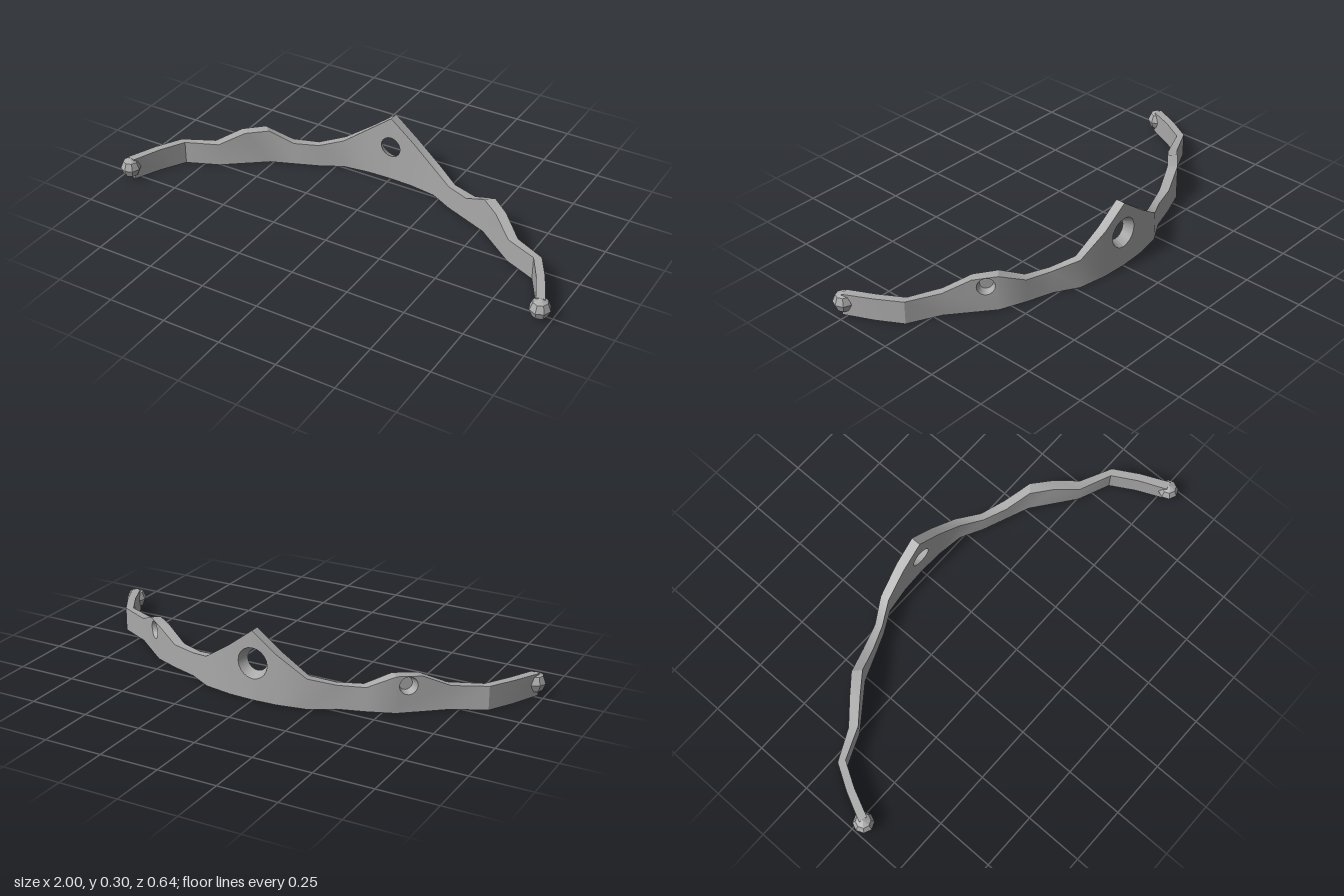
import * as THREE from 'three';
import { toCreasedNormals } from 'three/addons/utils/BufferGeometryUtils.js';

// Stations along one half of the band: [t, outer x, outer z, inner x, inner z, top y]
const STATIONS = [
  [0.00, 0.000, -0.320, 0.000, -0.278, 0.297],
  [0.107, 0.107, -0.315, 0.107, -0.274, 0.214],
  [0.23, 0.230, -0.293, 0.220, -0.258, 0.130],
  [0.33, 0.330, -0.235, 0.315, -0.208, 0.103],
  [0.43, 0.440, -0.200, 0.415, -0.168, 0.103],
  [0.53, 0.550, -0.157, 0.515, -0.128, 0.156],
  [0.72, 0.720, -0.020, 0.690, 0.005, 0.102],
  [0.85, 0.853, 0.045, 0.825, 0.062, 0.102],
  [0.91, 0.915, 0.150, 0.885, 0.165, 0.100],
  [0.96, 0.972, 0.270, 0.936, 0.278, 0.095],
];
const V = (x, y) => new THREE.Vector2(x, y);

// Maps (t, y) and depth w (0 inner face, 1 outer face) onto the bent band
function bend(p, w) {
  let i = 0;
  while (i < STATIONS.length - 2 && p.x > STATIONS[i + 1][0]) i++;
  const a = STATIONS[i], b = STATIONS[i + 1];
  const k = (p.x - a[0]) / (b[0] - a[0]);
  const at = (j) => a[j] + (b[j] - a[j]) * k;
  const mix = THREE.MathUtils.lerp;
  return [mix(at(3), at(1), w), p.y, mix(at(4), at(2), w)];
}

// Points on a circle or arc, squeezed by sx along the band
function arc(cx, cy, r, from, to, n, sx = 1) {
  return Array.from({ length: n + 1 }, (_, i) => {
    const a = from + (to - from) * i / n;
    return V(cx + Math.cos(a) * r * sx, cy + Math.sin(a) * r);
  });
}

function halfBand(side) {
  const pos = [];
  const tri = (a, b, c) => {
    for (const p of side > 0 ? [a, b, c] : [a, c, b]) pos.push(p[0] * side, p[1], p[2]);
  };
  const face = (contour, holes, w) => {
    const all = contour.concat(...holes).map((p) => bend(p, w));
    for (const [a, b, c] of THREE.ShapeUtils.triangulateShape(contour, holes)) {
      if (w > 0) tri(all[a], all[c], all[b]);
      else tri(all[a], all[b], all[c]);
    }
  };
  const wall = (fa, fb, ba, bb) => { tri(fa, ba, bb); tri(fa, bb, fb); };

  const last = STATIONS.length - 2;
  for (let i = 0; i <= last; i++) {
    const s = STATIONS[i], e = STATIONS[i + 1];
    // Panel outline, with half of the central opening cut into the first panel
    const outline = (r) => {
      const pts = [V(s[0], 0), V(e[0], 0), V(e[0], e[5])];
      if (i === 5) pts.push(V(0.62, 0.151));
      pts.push(V(s[0], s[5]));
      if (i === 0) pts.push(...arc(0, 0.158, r, Math.PI / 2, -Math.PI / 2, 10).map((p) => V(Math.max(0, p.x), p.y)));
      return pts;
    };
    const inner = outline(0.045), outer = outline(0.066);
    const holes = [];
    // Blind round socket in the back of each side bump
    if (i === 5) {
      const ring = (r) => arc(0.572, 0.114, r, 0, -Math.PI * 2, 16, 0.85).slice(0, -1);
      const mouth = ring(0.038), floor = ring(0.028);
      holes.push(mouth);
      for (let k = 0; k < mouth.length; k++) {
        const n = (k + 1) % mouth.length;
        wall(bend(floor[k], 0.3), bend(floor[n], 0.3), bend(mouth[k], 1), bend(mouth[n], 1));
      }
      face(floor.slice().reverse(), [], 0.3);
    }
    face(inner, [], 0);
    face(outer, holes, 1);
    // Rim walls, leaving out the seams between panels
    for (let k = 0; k < inner.length; k++) {
      const n = (k + 1) % inner.length;
      const both = (t) => Math.abs(inner[k].x - t) < 1e-6 && Math.abs(inner[n].x - t) < 1e-6;
      if (both(s[0]) || (both(e[0]) && i < last)) continue;
      wall(bend(inner[k], 0), bend(inner[n], 0), bend(outer[k], 1), bend(outer[n], 1));
    }
  }
  const g = new THREE.BufferGeometry();
  g.setAttribute('position', new THREE.Float32BufferAttribute(pos, 3));
  return toCreasedNormals(g, 0.5);
}

export function createModel() {
  const model = new THREE.Group();
  model.name = 'tiara';
  const metal = new THREE.MeshStandardMaterial({ color: 0xaaaaaa });
  metal.name = 'grey metal';

  for (const side of [1, -1]) {
    const label = side > 0 ? 'left' : 'right';
    const band = new THREE.Mesh(halfBand(side), metal);
    band.name = label + 'Band';

    // Faceted knob at the tip of the band
    const knobGeometry = toCreasedNormals(new THREE.SphereGeometry(0.044, 8, 4), 0.3);
    const knob = new THREE.Mesh(knobGeometry, metal);
    knob.name = label + 'EndKnob';
    knob.position.set(0.956 * side, 0.053, 0.276);
    model.add(band, knob);
  }
  return model;
}
